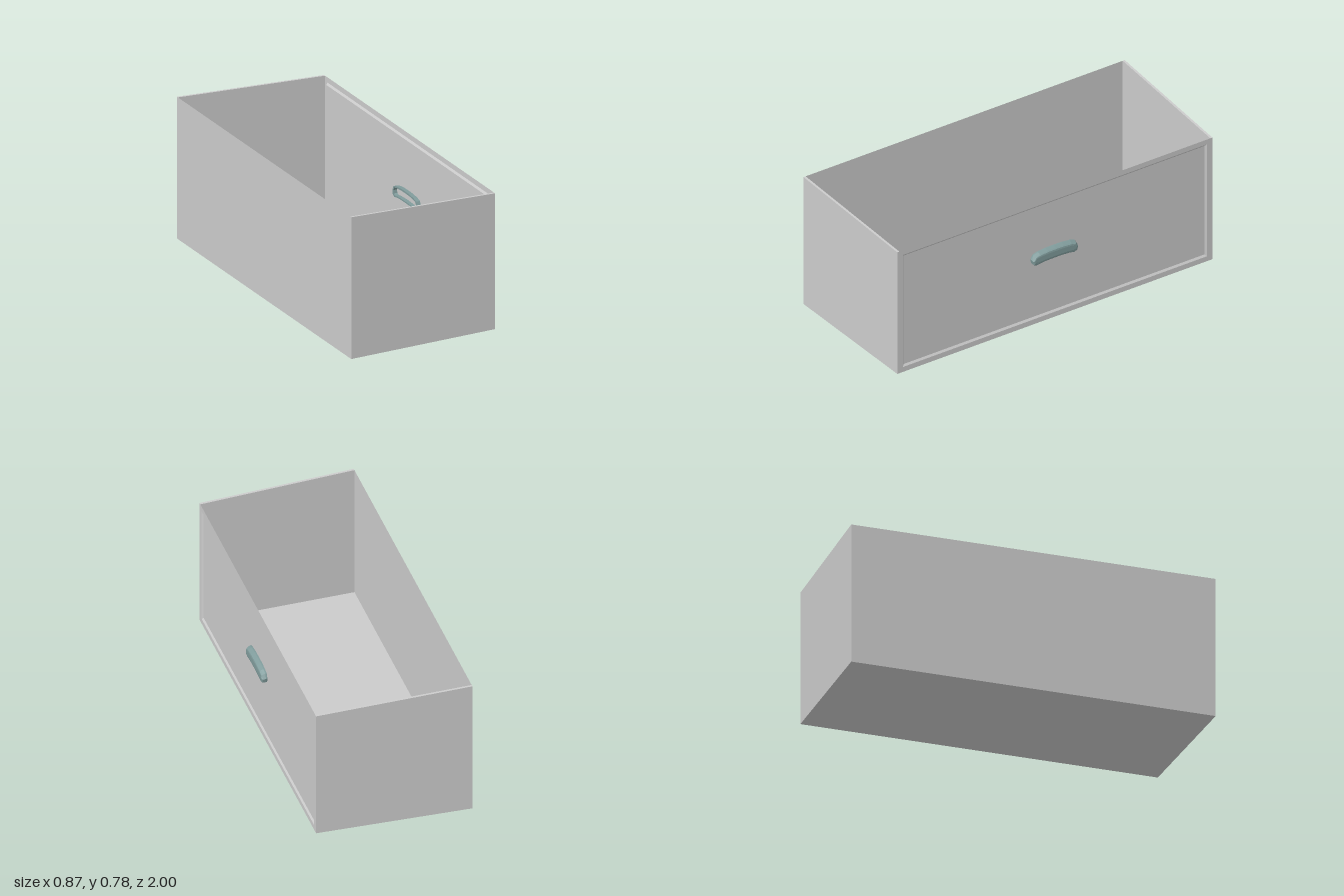
import * as THREE from 'three';

const grey = new THREE.MeshStandardMaterial({ color: 0xcccccc, flatShading: true, side: THREE.DoubleSide });
const teal = new THREE.MeshStandardMaterial({ color: 0x809c9c, flatShading: true, side: THREE.DoubleSide });

// Skins a list of equal-length point rings; optionally caps the last one with a fan.
function loft(name, rings, material, cap = false) {
  const n = rings[0].length;
  const pos = rings.flat(2);
  const index = [];
  for (let r = 0; r < rings.length - 1; r++) {
    for (let i = 0; i < n; i++) {
      const j = (i + 1) % n;
      const a = r * n + i, b = r * n + j;
      index.push(a, b, b + n, a, b + n, a + n);
    }
  }
  if (cap) {
    const last = rings[rings.length - 1];
    pos.push(...[0, 1, 2].map(k => last.reduce((s, p) => s + p[k], 0) / n));
    const start = (rings.length - 1) * n;
    for (let i = 0; i < n; i++) index.push(start + i, start + (i + 1) % n, rings.length * n);
  }
  const g = new THREE.BufferGeometry();
  g.setAttribute('position', new THREE.Float32BufferAttribute(pos, 3));
  g.setIndex(index);
  const flat = g.toNonIndexed();
  flat.computeVertexNormals();
  const mesh = new THREE.Mesh(flat, material);
  mesh.name = name;
  return mesh;
}

// Single four-cornered sheet
function sheet(name, a, b, c, d) {
  const g = new THREE.BufferGeometry();
  g.setAttribute('position', new THREE.Float32BufferAttribute([a, b, c, a, c, d].flat(), 3));
  g.computeVertexNormals();
  const mesh = new THREE.Mesh(g, grey);
  mesh.name = name;
  return mesh;
}

// Rectangle facing +x, counter-clockwise seen from the front of the drawer
const rect = (x, y0, y1, z) => [[x, y0, z], [x, y0, -z], [x, y1, -z], [x, y1, z]];

export function createModel() {
  const group = new THREE.Group();
  const back = rect(-0.433, 0, 0.783, 1);
  const front = rect(0.411, 0.017, 0.767, 0.981);

  // Tapered open-topped body
  group.add(sheet('floor', back[0], back[1], front[1], front[0]));
  group.add(sheet('backWall', back[1], back[0], back[3], back[2]));

  // Side walls: outer skin, inner skin and the narrow top edge between them
  const t = 0.013;
  for (const s of [1, -1]) {
    const side = s > 0 ? 'left' : 'right';
    const [b0, b1] = s > 0 ? [back[0], back[3]] : [back[1], back[2]];
    const [f0, f1] = s > 0 ? [front[0], front[3]] : [front[1], front[2]];
    const inset = p => [p[0], p[1], p[2] - s * t];
    const wind = (name, a, b, c, d) => group.add(s > 0 ? sheet(name, a, b, c, d) : sheet(name, d, c, b, a));
    wind(side + 'WallOuter', b0, f0, f1, b1);
    wind(side + 'WallInner', inset(b1), inset(f1), inset(f0), inset(b0));
    wind(side + 'WallTop', b1, f1, inset(f1), inset(b1));
  }

  // Front with a raised frame, bevel and recessed panel
  group.add(loft('frontPanel', [
    front,
    rect(0.411, 0.047, 0.738, 0.947),
    rect(0.403, 0.058, 0.727, 0.936),
  ], grey, true));

  // Arched pull handle: half outline (length, height), mirrored
  const half = [[0, 0.037], [0.05, 0.036], [0.1, 0.031], [0.13, 0.022], [0.143, -0.003],
    [0.138, -0.028], [0.12, -0.037], [0.09, -0.031], [0.05, -0.028], [0, -0.027]];
  const outline = [...half, ...half.slice(1, -1).reverse().map(([l, h]) => [-l, h])].reverse();
  const ring = (x, y, sl, sh) => outline.map(([l, h]) => [x, y + h * sh, 0.005 - l * sl]);
  group.add(loft('handle', [
    ring(0.402, 0.423, 0.92, 0.7),
    ring(0.38, 0.423, 0.92, 0.7),
    ring(0.38, 0.423, 0.99, 0.97),
    ring(0.411, 0.422, 1, 0.97),
    ring(0.425, 0.417, 0.98, 0.9),
    ring(0.431, 0.418, 0.95, 0.75),
    ring(0.433, 0.42, 0.9, 0.45),
  ], teal, true));

  return group;
}
